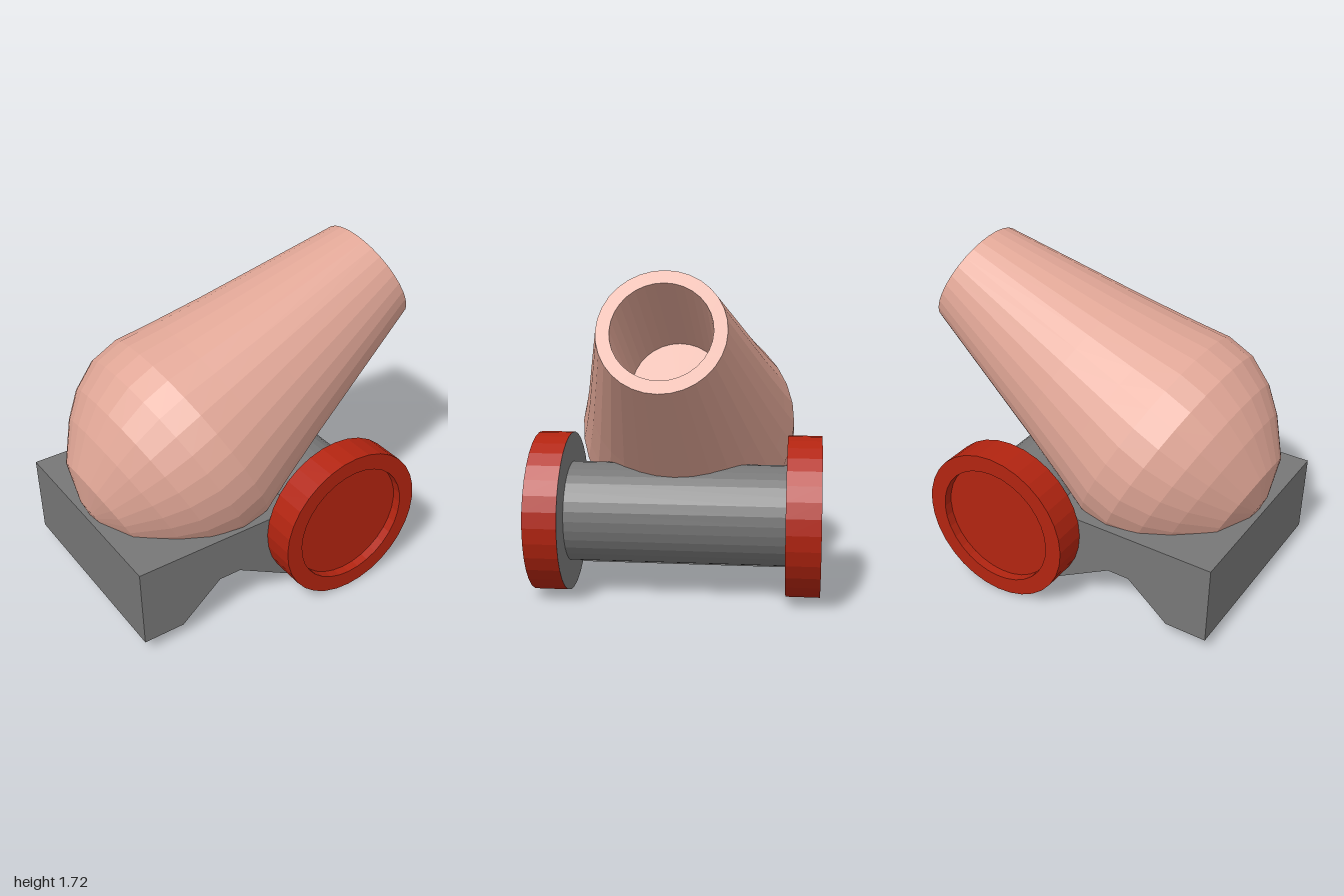
import * as THREE from 'three';

const barrelPaint = new THREE.MeshStandardMaterial({ color: 0xe0a696 });
const greyMetal = new THREE.MeshStandardMaterial({ color: 0x777777 });
const wheelRed = new THREE.MeshStandardMaterial({ color: 0xb22410 });

const SIDES = 32;
const AXLE = { x: 0.22, y: 0.43 };
const INNER = 0.575; // distance from the middle to the inner wheel face
const WHEEL_WIDTH = 0.178;

// Gives every face its own normal for a faceted look
function faceted(geometry) {
  const g = geometry.index ? geometry.toNonIndexed() : geometry;
  g.computeVertexNormals();
  return g;
}

function part(name, geometry, material) {
  const mesh = new THREE.Mesh(geometry, material);
  mesh.name = name;
  return mesh;
}

function lathe(points) {
  return faceted(new THREE.LatheGeometry(points.map(([r, y]) => new THREE.Vector2(r, y)), SIDES));
}

// Barrel: rounded breech, tapering tube, flat muzzle ring and blind bore
function makeBarrel() {
  const barrel = part('barrel', lathe([
    [0, -2.02], [0.085, -2.012], [0.29, -1.934], [0.453, -1.771], [0.546, -1.64],
    [0.607, -1.48], [0.609, -1.32], [0.558, -1.12], [0.488, -0.82], [0.312, 0],
    [0.246, 0], [0.246, -0.75], [0, -0.75],
  ]), barrelPaint);
  barrel.position.set(0.853, 1.447, 0.01);
  barrel.rotation.z = -Math.acos(0.457);
  return barrel;
}

// Carriage: side profile extruded across the full width
function makeCarriage() {
  const shape = new THREE.Shape([
    [-0.975, 0.53], [-0.965, 0.08], [-0.735, 0.08], [-0.505, 0.275],
    [-0.38, 0.275], [-0.03, 0.075], [-0.03, 0.53],
  ].map(([x, y]) => new THREE.Vector2(x, y)));
  const geometry = new THREE.ExtrudeGeometry(shape, { depth: 2 * INNER, bevelEnabled: false });
  geometry.translate(0, 0, -INNER);
  return part('carriage', geometry, greyMetal);
}

function makeAxle() {
  const axle = part('axle', faceted(new THREE.CylinderGeometry(0.266, 0.266, 2 * INNER, SIDES)), greyMetal);
  axle.rotation.x = Math.PI / 2;
  axle.position.set(AXLE.x, AXLE.y, 0);
  return axle;
}

// Wheel: rim with a recessed outer face and a grey inner face
function makeWheel(name, side) {
  const wheel = new THREE.Group();
  wheel.name = name;
  const w = WHEEL_WIDTH;
  wheel.add(part('wheelRim', lathe([
    [0.425, 0], [0.425, w], [0.333, w], [0.333, w - 0.05], [0, w - 0.05],
  ]), wheelRed));
  const back = part('wheelInnerFace', new THREE.CircleGeometry(0.425, SIDES), greyMetal);
  back.rotation.x = Math.PI / 2;
  wheel.add(back);
  wheel.rotation.x = side * Math.PI / 2;
  wheel.position.set(AXLE.x, AXLE.y, side * INNER);
  return wheel;
}

export function createModel() {
  const model = new THREE.Group();
  model.name = 'cannon';
  model.add(makeBarrel(), makeCarriage(), makeAxle(), makeWheel('frontWheel', 1), makeWheel('backWheel', -1));
  return model;
}
